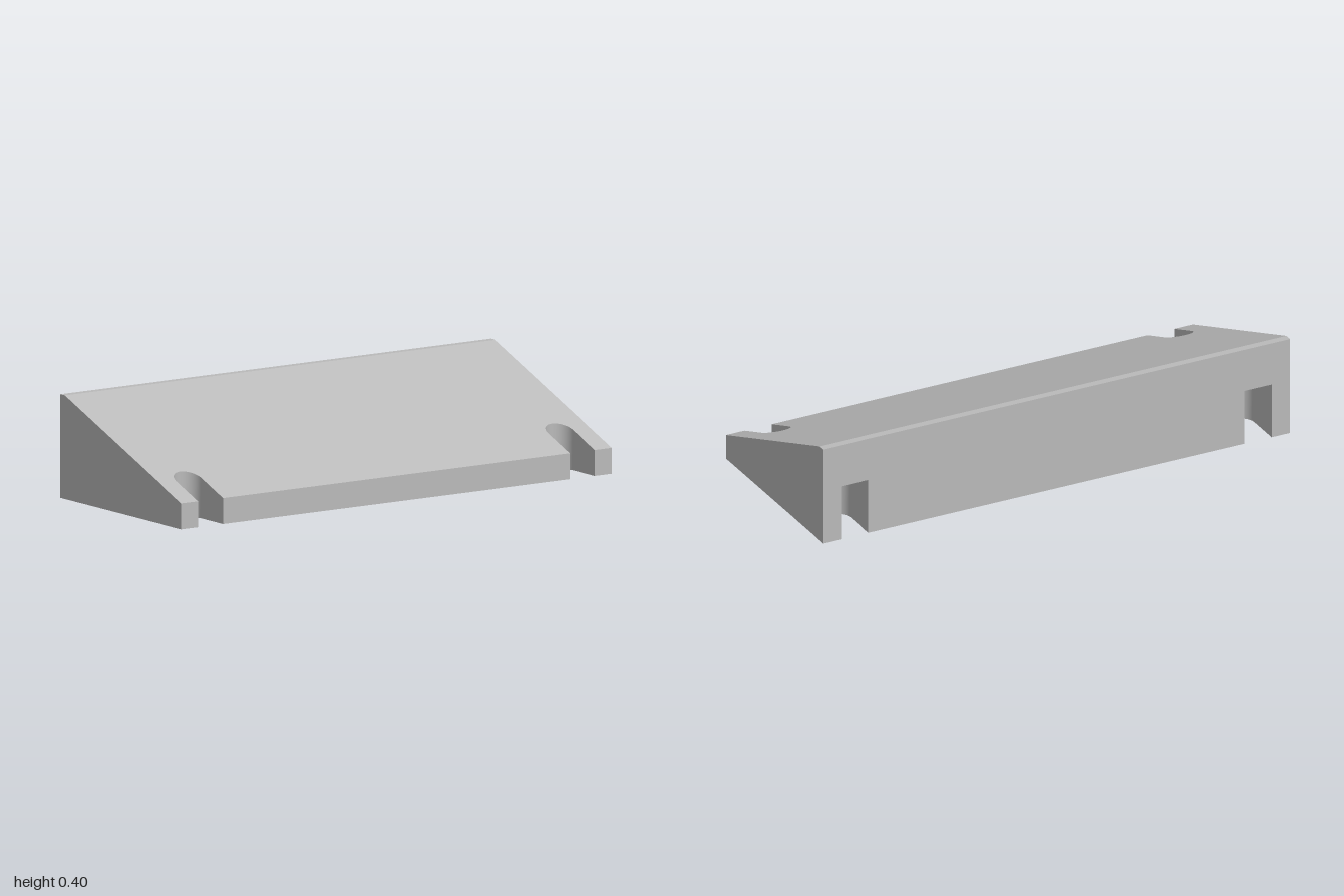
import * as THREE from 'three';

const W = 1, D = 0.4, H = 0.4;           // half width, half depth, height
const LIP = 0.1, RIDGE = -0.37;          // front edge height, z where the slope ends
const SLOT_X = [-0.863, 0.863], R = 0.058, SLOT_END = 0.2, POCKET_H = 0.225;

const slopeY = (z) => LIP + (H - LIP) * (D - z) / (D - RIDGE);

// Round-ended slot outline, left to right, open towards +z, as [x, z]
function slotPath(cx) {
  const pts = [[cx - R, D]];
  for (let i = 0; i <= 24; i++) {
    const a = Math.PI * (1 - i / 24);
    pts.push([cx + R * Math.cos(a), SLOT_END + R - R * Math.sin(a)]);
  }
  pts.push([cx + R, D]);
  return pts;
}

const shapeOf = (pts) => new THREE.Shape(pts.map(([x, y]) => new THREE.Vector2(x, y)));

// Plan outline with front slots and optional back slots, as [x, -z]
function plan(backZ, backSlots) {
  const front = SLOT_X.flatMap(slotPath);
  const back = backSlots ? front.map(([x, z]) => [-x, z]) : [];
  return shapeOf([[-W, -D], ...front.map(([x, z]) => [x, -z]), [W, -D],
    [W, -backZ], ...back, [-W, -backZ]]);
}

// Upright wall following a path, from the ground to a height given by z
function wall(path, heightAt) {
  const g = new THREE.PlaneGeometry(1, 1, path.length - 1, 1);
  const p = g.attributes.position;
  for (let i = 0; i < p.count; i++) {
    const [x, z] = path[i % path.length];
    p.setXYZ(i, x, i < path.length ? heightAt(z) : 0, z);
  }
  g.computeVertexNormals();
  return g;
}

export function createModel() {
  const group = new THREE.Group();
  const grey = new THREE.MeshStandardMaterial({ color: 0xbababa });
  grey.name = 'plain grey';
  const add = (name, geometry, parent = group) => {
    const mesh = new THREE.Mesh(geometry, grey);
    mesh.name = name;
    parent.add(mesh);
    return mesh;
  };

  // Underside with all four slots
  add('underside', new THREE.ShapeGeometry(plan(-D, true)).rotateX(Math.PI / 2));

  // Sloping face, tilted from the flat plan
  const slope = new THREE.ShapeGeometry(plan(RIDGE, false)).rotateX(-Math.PI / 2);
  const p = slope.attributes.position;
  for (let i = 0; i < p.count; i++) p.setY(i, slopeY(p.getZ(i)));
  slope.computeVertexNormals();
  add('slopingFace', slope);

  // Narrow flat strip along the ridge
  add('ridgeStrip', new THREE.PlaneGeometry(2 * W, D + RIDGE)
    .rotateX(-Math.PI / 2).translate(0, H, (RIDGE - D) / 2));

  // Front lip in three pieces between the slots
  const cuts = [-W, ...SLOT_X.flatMap((x) => [x - R, x + R]), W];
  const lips = [0, 2, 4].map((i) => shapeOf([[cuts[i], 0], [cuts[i + 1], 0],
    [cuts[i + 1], LIP], [cuts[i], LIP]]));
  add('frontLip', new THREE.ShapeGeometry(lips).translate(0, 0, D));

  // Back face with two pocket openings
  const openings = SLOT_X.flatMap((x) => [[x - R, 0], [x - R, POCKET_H],
    [x + R, POCKET_H], [x + R, 0]]);
  add('backFace', new THREE.ShapeGeometry(
    shapeOf([[-W, 0], ...openings, [W, 0], [W, H], [-W, H]]))
    .rotateY(Math.PI).translate(0, 0, -D));

  // Wedge-shaped sides
  for (const s of [1, -1]) {
    const profile = [[D, 0], [-D, 0], [-D, H], [RIDGE, H], [D, LIP]];
    add(s > 0 ? 'leftSide' : 'rightSide', new THREE.ShapeGeometry(
      shapeOf(profile.map(([z, y]) => [-s * z, y])))
      .rotateY(s * Math.PI / 2).translate(s * W, 0, 0));
  }

  // Through slots at the front, closed pockets at the back
  const pockets = new THREE.Group();
  pockets.name = 'backPockets';
  pockets.rotation.y = Math.PI;
  group.add(pockets);
  for (const x of SLOT_X) {
    const path = slotPath(x);
    add('frontSlotWall', wall(path, slopeY));
    add('pocketWall', wall(path, () => POCKET_H), pockets);
    add('pocketCeiling', new THREE.ShapeGeometry(shapeOf(path))
      .rotateX(Math.PI / 2).translate(0, POCKET_H, 0), pockets);
  }
  return group;
}
